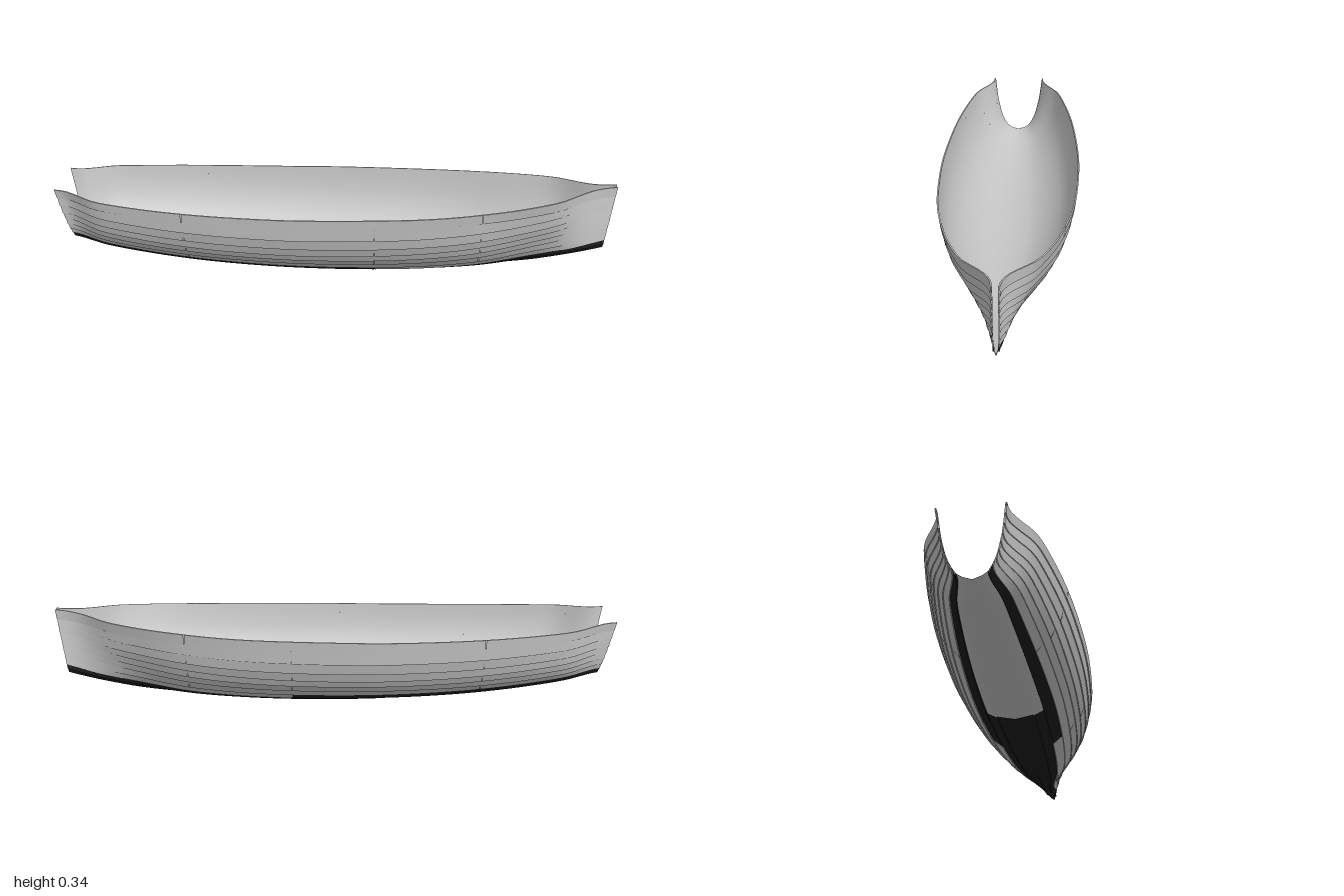
import * as THREE from 'three';

const STRAKES = 10;
const grey = new THREE.MeshStandardMaterial({ color: 0xc6c6c6, side: THREE.DoubleSide });
grey.name = 'palePlanking';
const black = new THREE.MeshStandardMaterial({ color: 0x1c1c1c, side: THREE.DoubleSide });
black.name = 'blackBottom';

// Smooth curve through [x, value] pairs
function curve(keys) {
  const slope = keys.map((_, i) => {
    const a = keys[Math.max(i - 1, 0)], b = keys[Math.min(i + 1, keys.length - 1)];
    return (b[1] - a[1]) / (b[0] - a[0]);
  });
  return (x) => {
    let i = 0;
    while (i < keys.length - 2 && x > keys[i + 1][0]) i++;
    const [x0, v0] = keys[i], [x1, v1] = keys[i + 1], w = x1 - x0;
    const t = (x - x0) / w, t2 = t * t, t3 = t2 * t;
    return (2 * t3 - 3 * t2 + 1) * v0 + (t3 - 2 * t2 + t) * w * slope[i]
      + (3 * t2 - 2 * t3) * v1 + (t3 - t2) * w * slope[i + 1];
  };
}

// Hull lines, stern at -x and bow at +x
const beam = curve([[-1, .102], [-.96, .105], [-.91, .13], [-.86, .16], [-.8, .18], [-.6, .215], [-.4, .235],
  [-.1, .247], [.2, .237], [.4, .217], [.6, .177], [.73, .138], [.8, .108], [.85, .072], [.9, .036], [.95, .015], [1, .008]]);
const sheer = curve([[-1, .31], [-.8, .295], [-.5, .285], [-.2, .282], [0, .285], [.3, .291], [.5, .3], [.75, .317], [1, .339]]);
const keel = curve([[-1, .088], [-.8, .058], [-.6, .034], [-.4, .018], [-.15, .008], [.1, .005], [.3, .009],
  [.5, .02], [.7, .042], [.85, .07], [1, .103]]);

// Section shapes: relative breadth and height of every plank edge
const breadths = [
  [-1, [0, .28, .45, .57, .67, .75, .81, .87, .92, .96, 1]],
  [-.8, [0, .24, .4, .53, .65, .74, .82, .88, .94, .98, 1]],
  [-.1, [0, .26, .4, .55, .66, .75, .82, .89, .95, .985, 1]],
  [.5, [0, .2, .34, .48, .6, .7, .78, .86, .92, .97, 1]],
  [.8, [0, .1, .2, .32, .44, .55, .66, .76, .85, .93, 1]],
  [1, [0, .6, .8, .9, .95, 1, 1, 1, 1, 1, 1]],
];
const heights = [
  [-1, [0, .04, .09, .17, .26, .36, .47, .58, .72, .86, 1]],
  [-.1, [0, .035, .088, .175, .263, .35, .44, .56, .7, .875, 1]],
  [.5, [0, .04, .1, .185, .285, .38, .48, .59, .72, .87, 1]],
  [1, [0, .05, .12, .21, .33, .43, .54, .63, .75, .85, 1]],
];
const perEdge = (table) => table[0][1].map((_, k) => curve(table.map(([x, row]) => [x, row[k]])));
const breadthAt = perEdge(breadths), heightAt = perEdge(heights);

// Point on plank edge k at station x, pushed outward by off
function edge(x, k, side, off = 0) {
  const zy = (j) => [beam(x) * breadthAt[j](x), keel(x) + (sheer(x) - keel(x)) * heightAt[j](x)];
  let [z, y] = zy(k);
  const h = heightAt[k](x);
  if (off) {
    const a = zy(Math.max(k - 1, 0)), b = zy(Math.min(k + 1, STRAKES));
    const dz = b[0] - a[0], dy = b[1] - a[1], len = Math.hypot(dz, dy);
    if (k === 0) y -= off;
    else { z += off * dy / len; y -= off * dz / len; }
  }
  const rake = x ** 8 * (1 - h) * (x < 0 ? .045 : -.03);
  return [x + rake, y, z * side];
}

// Surface through rows of points, one row per station
function skin(rows, flip) {
  const n = rows[0].length, index = [];
  for (let i = 0; i < rows.length - 1; i++) {
    for (let j = 0; j < n - 1; j++) {
      const a = i * n + j, b = a + 1, c = a + n, d = c + 1;
      if (flip) index.push(a, b, c, b, d, c);
      else index.push(a, c, b, b, c, d);
    }
  }
  const g = new THREE.BufferGeometry();
  g.setAttribute('position', new THREE.Float32BufferAttribute(rows.flat(2), 3));
  g.setIndex(index);
  g.computeVertexNormals();
  return g;
}

function stations(x0, x1) {
  const n = Math.max(4, Math.ceil((x1 - x0) * 40));
  return Array.from({ length: n + 1 }, (_, i) => x0 + (x1 - x0) * i / n);
}

function add(group, name, geometry, material) {
  const mesh = new THREE.Mesh(geometry, material);
  mesh.name = name;
  group.add(mesh);
}

// One overlapping plank with its lower lip
function plank(group, k, side, x0, x1, material) {
  const xs = stations(x0, x1), low = .005, top = k === STRAKES - 1 ? .005 : .001;
  const face = xs.map((x) => [edge(x, k, side, low), edge(x, k + 1, side, top)]);
  add(group, 'plank', skin(face, side < 0), material);
  if (k > 0) {
    const lip = xs.map((x) => [edge(x, k, side), edge(x, k, side, low)]);
    add(group, 'plankLip', skin(lip, side < 0), material);
  }
  if (k === STRAKES - 1) {
    const rim = xs.map((x) => [edge(x, k + 1, side, top), edge(x, k + 1, side)]);
    add(group, 'sheerRim', skin(rim, side < 0), material);
  }
}

export function createModel() {
  const model = new THREE.Group();
  model.name = 'openBoatHull';

  // Continuous inner skin from rail to rail
  const inner = stations(-1, 1).map((x) => {
    const row = [];
    for (let k = -STRAKES; k <= STRAKES; k++) row.push(edge(x, Math.abs(k), k < 0 ? -1 : 1));
    return row;
  });
  add(model, 'innerSkin', skin(inner, true), grey);

  // Outer planking, mirrored, with narrow butt joints
  for (const side of [1, -1]) {
    const group = new THREE.Group();
    group.name = side > 0 ? 'frontPlanking' : 'backPlanking';
    for (let k = 0; k < STRAKES; k++) {
      if (k < 2) { // forward bottom planks
        plank(group, k, side, -.15, 1, black);
      } else if (k === 2) { // black strip aft, pale forward
        plank(group, k, side, -1, .148, black);
        plank(group, k, side, .151, 1, grey);
      } else {
        const joints = k % 2 ? [-1, -.52, .52, 1] : [-1, .15, 1];
        for (let i = 0; i < joints.length - 1; i++) {
          plank(group, k, side, joints[i] + (i ? .0015 : 0), joints[i + 1] - (joints[i + 1] < 1 ? .0015 : 0), grey);
        }
      }
    }
    model.add(group);
  }
  return model;
}
